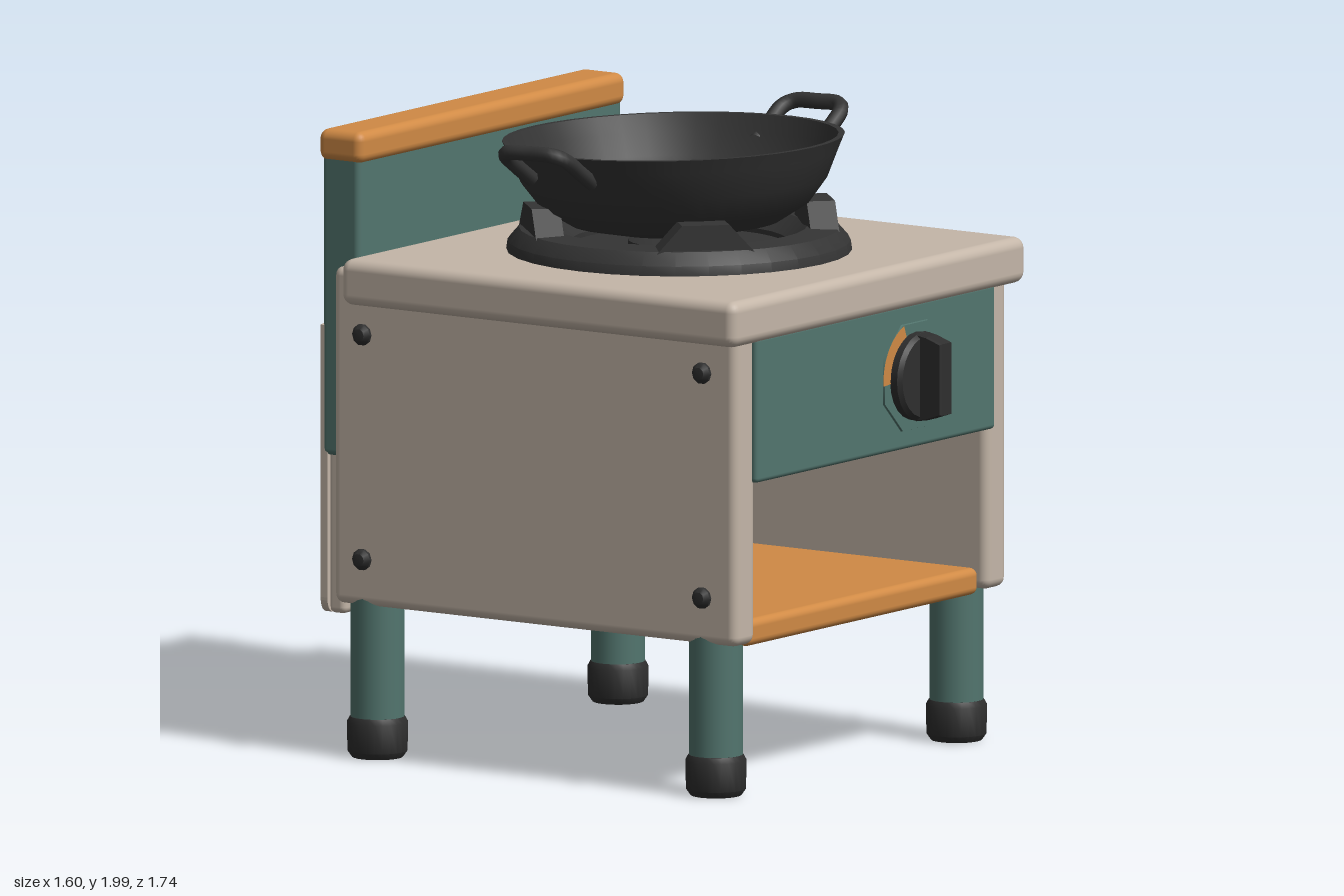
import * as THREE from 'three';
import { RoundedBoxGeometry } from 'three/addons/geometries/RoundedBoxGeometry.js';
import { toCreasedNormals } from 'three/addons/utils/BufferGeometryUtils.js';

const material = (name, color, side = THREE.FrontSide) =>
  Object.assign(new THREE.MeshStandardMaterial({ color, side }), { name });

export function createModel() {
  const beige = material('beige enamel', 0xc4b6a8);
  const teal = material('teal paint', 0x52756e);
  const wood = material('orange wood', 0xd08a45);
  const iron = material('dark iron', 0x343434, THREE.DoubleSide);
  const rubber = material('black rubber', 0x2e2e2e);

  const model = new THREE.Group();
  model.name = 'wokStove';

  const add = (name, geometry, mat, pos = [0, 0, 0], parent = model) => {
    const mesh = new THREE.Mesh(geometry, mat);
    mesh.name = name;
    mesh.position.set(...pos);
    parent.add(mesh);
    return mesh;
  };
  // Rounded box given by its minimum and maximum on each axis
  const box = (name, mat, [x0, x1], [y0, y1], [z0, z1], r = 0.025) =>
    add(name, new RoundedBoxGeometry(x1 - x0, y1 - y0, z1 - z0, 3, r), mat,
      [(x0 + x1) / 2, (y0 + y1) / 2, (z0 + z1) / 2]);
  // Turned solid with smooth flanks and sharp edges
  const turned = (points, segments = 24) => toCreasedNormals(
    new THREE.LatheGeometry(points.map(([r, y]) => new THREE.Vector2(r, y)), segments), 0.6);

  // Cabinet
  box('worktop', beige, [-0.8, 0.795], [1.445, 1.59], [-0.737, 0.767], 0.035);
  box('burnerHousing', beige, [-0.64, 0.64], [1.03, 1.46], [-0.8, 0.7]);
  box('controlPanel', teal, [-0.65, 0.65], [1.0, 1.46], [0.62, 0.748], 0.015);
  box('shelf', wood, [-0.63, 0.63], [0.475, 0.56], [-0.8, 0.7]);
  box('splashback', teal, [-0.718, 0.712], [0.95, 1.92], [-0.86, -0.718], 0.02);
  box('splashbackRail', wood, [-0.73, 0.717], [1.88, 1.98], [-0.87, -0.703], 0.03);

  // Rear panel with a slightly wavy upper edge
  const rear = new THREE.Shape();
  rear.moveTo(-0.67, 0.45);
  rear.lineTo(0.67, 0.45);
  rear.quadraticCurveTo(0.715, 0.45, 0.715, 0.5);
  rear.lineTo(0.715, 1.43);
  rear.bezierCurveTo(0.3, 1.43, 0, 1.36, -0.3, 1.35);
  rear.bezierCurveTo(-0.45, 1.34, -0.6, 1.39, -0.715, 1.36);
  rear.lineTo(-0.715, 0.5);
  rear.quadraticCurveTo(-0.715, 0.45, -0.67, 0.45);
  add('rearPanel', new THREE.ExtrudeGeometry(rear, { depth: 0.026, bevelEnabled: false, curveSegments: 10 }),
    beige, [0, 0, -0.866]);
  box('rearLining', beige, [-0.7, 0.7], [0.45, 1.3], [-0.85, -0.785], 0.02);

  // Side panels, bolts and legs
  const leg = new THREE.CylinderGeometry(0.084, 0.084, 0.45, 24);
  const foot = turned([[0, 0], [0.08, 0], [0.094, 0.02], [0.096, 0.11], [0.086, 0.128], [0, 0.128]]);
  const bolt = turned([[0, 0.03], [0.02, 0.027], [0.034, 0.012], [0.034, 0], [0, 0]].reverse(), 10);
  for (const s of [-1, 1]) {
    const inner = 0.625 * s, outer = 0.738 * s;
    box(s > 0 ? 'leftSidePanel' : 'rightSidePanel', beige,
      [Math.min(inner, outer), Math.max(inner, outer)], [0.49, 1.555], [-0.805, 0.73], 0.03);
    for (const z of [0.595, -0.693]) {
      add('leg', leg, teal, [0.653 * s, 0.32, z]);
      add('foot', foot, rubber, [0.653 * s, 0.005, z]);
    }
    for (const z of [0.603, -0.69]) for (const y of [0.638, 1.348])
      add('bolt', bolt, rubber, [0.735 * s, y, z]).rotation.z = -s * Math.PI / 2;
  }

  // Control knob with its backing plate and heat mark
  const knob = new THREE.Group();
  knob.name = 'controlKnob';
  knob.position.set(0.203, 1.228, 0.747);
  model.add(knob);
  const plate = new THREE.CylinderGeometry(0.18, 0.185, 0.016, 8);
  plate.rotateY(Math.PI / 8);
  add('knobPlate', plate, teal, [0, 0, 0], knob).rotation.x = Math.PI / 2;
  add('knobDisc', turned([[0, 0], [0.138, 0], [0.14, 0.035], [0.128, 0.048], [0, 0.048]]),
    rubber, [0, 0, 0], knob).rotation.x = Math.PI / 2;
  const grip = new THREE.Shape();
  grip.moveTo(-0.135, 0.03);
  grip.lineTo(0.135, 0.03);
  grip.lineTo(0.128, 0.07);
  grip.lineTo(0.11, 0.122);
  grip.lineTo(-0.11, 0.122);
  grip.lineTo(-0.128, 0.07);
  const gripGeometry = new THREE.ExtrudeGeometry(grip, {
    depth: 0.05, bevelThickness: 0.008, bevelSize: 0.004, bevelSegments: 1 });
  gripGeometry.translate(0, 0, -0.025);
  // Turn the profile so that it stands upright and points forwards
  gripGeometry.rotateX(Math.PI / 2).rotateZ(Math.PI / 2);
  add('knobGrip', gripGeometry, rubber, [0, 0, 0], knob);
  add('heatMark', new THREE.RingGeometry(0.138, 0.178, 16, 1, Math.PI * 0.62, Math.PI * 0.4),
    wood, [0, 0, 0.01], knob);

  // Burner ring with four tapered pan supports
  const burner = new THREE.Group();
  burner.name = 'burner';
  burner.position.set(-0.025, 1.585, 0.015);
  model.add(burner);
  add('burnerRing', turned([[0.34, 0], [0.54, 0], [0.535, 0.035], [0.5, 0.075], [0.4, 0.08], [0.34, 0.03], [0.34, 0]], 32),
    iron, [0, 0, 0], burner);
  add('burnerPlate', new THREE.CylinderGeometry(0.35, 0.35, 0.02, 32), iron, [0, 0.005, 0], burner);
  add('burnerHead', turned([[0.16, 0], [0.16, 0.035], [0.12, 0.05], [0, 0.05]]), iron, [0, 0, 0], burner);
  const tooth = new THREE.Shape();
  tooth.moveTo(-0.18, 0.04);
  tooth.lineTo(0.18, 0.04);
  tooth.lineTo(0.075, 0.155);
  tooth.lineTo(-0.075, 0.155);
  const toothGeometry = new THREE.ExtrudeGeometry(tooth, { depth: 0.09, bevelEnabled: false });
  for (let i = 0; i < 4; i++) {
    const support = new THREE.Group();
    support.name = 'panSupport';
    support.rotation.y = Math.PI / 4 + i * Math.PI / 2;
    burner.add(support);
    add('supportTooth', toothGeometry, iron, [0, 0, 0.39], support);
  }

  // Wok: a thin turned shell, slightly tilted, with two loop handles
  const wok = new THREE.Group();
  wok.name = 'wok';
  wok.position.set(-0.015, 1.645, -0.005);
  wok.rotation.x = -0.03;
  model.add(wok);
  add('wokBowl', turned([
    [0, 0], [0.2, 0.003], [0.33, 0.03], [0.42, 0.085], [0.48, 0.165], [0.515, 0.25], [0.535, 0.295],
    [0.515, 0.295], [0.49, 0.24], [0.455, 0.17], [0.395, 0.1], [0.31, 0.05], [0.19, 0.022], [0, 0.016],
  ], 40), iron, [0, 0, 0], wok);
  const handlePath = new THREE.CatmullRomCurve3([
    [0.49, 0.215, -0.115], [0.56, 0.26, -0.115], [0.63, 0.307, -0.11], [0.658, 0.322, -0.08],
    [0.66, 0.324, 0], [0.658, 0.322, 0.08], [0.63, 0.307, 0.11], [0.56, 0.26, 0.115], [0.49, 0.215, 0.115],
  ].map(p => new THREE.Vector3(...p)));
  const handle = new THREE.TubeGeometry(handlePath, 40, 0.025, 8);
  handle.translate(0, 0, 0.085);
  for (const turn of [0, Math.PI])
    add('wokHandle', handle, iron, [0, 0, 0], wok).rotation.y = turn;

  return model;
}
